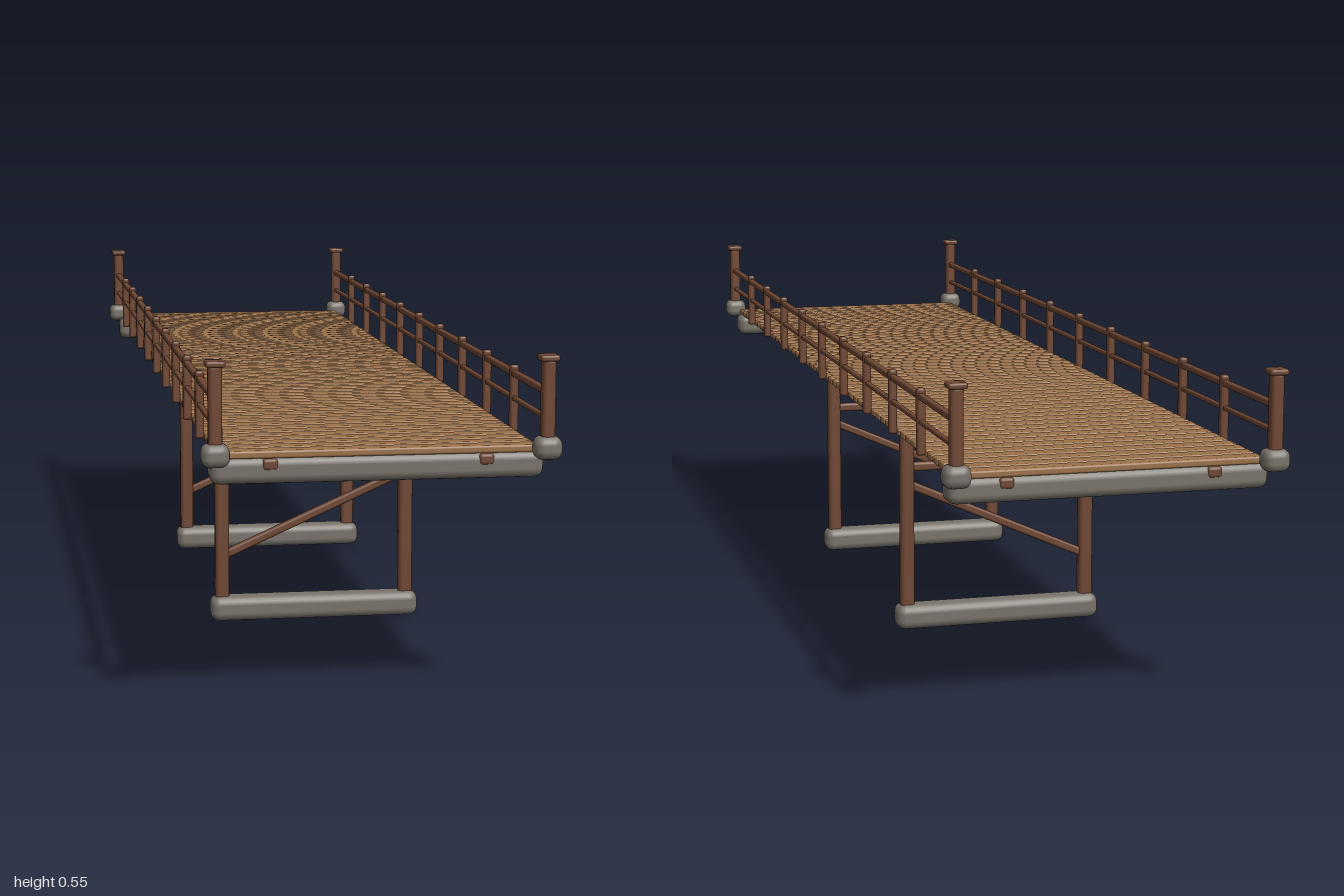
import * as THREE from 'three';
import { RoundedBoxGeometry } from 'three/addons/geometries/RoundedBoxGeometry.js';

export function createModel() {
  const bridge = new THREE.Group();
  bridge.name = 'footbridge';

  const mat = (name, color) => {
    const m = new THREE.MeshStandardMaterial({ color });
    m.name = name;
    return m;
  };
  const plankWood = mat('plank wood', 0x9a7049);
  const beamWood = mat('beam wood', 0x6e4632);
  const stone = mat('stone', 0x78736a);

  // Soft-edged block: size [w, h, d], centre [x, y, z], bevel as share of the thinnest side
  const block = (name, material, size, pos, bevel = 0.3) => {
    const geo = new RoundedBoxGeometry(...size, 2, Math.min(...size) * bevel);
    const mesh = new THREE.Mesh(geo, material);
    mesh.name = name;
    mesh.position.set(...pos);
    bridge.add(mesh);
    return mesh;
  };

  // Deck of cross planks
  const count = 53, pitch = 0.036;
  for (let i = 0; i < count; i++) {
    const z = (i - (count - 1) / 2) * pitch;
    block('plank', plankWood, [0.49, 0.012, 0.031], [0, 0.406, z]);
  }

  for (const s of [-1, 1]) {
    // Stringers under the deck
    block('stringer', beamWood, [0.024, 0.018, 1.91], [s * 0.165, 0.391, 0]);

    // Stone abutment at each end
    block('abutment', stone, [0.51, 0.043, 0.053], [0, 0.382, s * 0.927], 0.34);

    // Support frame: footing, legs, crossbeam and diagonal brace
    const z = s * 0.312;
    block('footing', stone, [0.372, 0.044, 0.048], [0, 0.022, z], 0.34);
    for (const x of [-0.165, 0.165]) {
      block('leg', beamWood, [0.025, 0.36, 0.022], [x, 0.21, z]);
    }
    block('crossbeam', beamWood, [0.33, 0.016, 0.016], [0, 0.292, z]);
    const brace = block('brace', beamWood, [0.35, 0.015, 0.015], [0, 0.189, z]);
    brace.rotation.z = Math.atan2(0.142, 0.32);

    // Railing along each side
    const x = s * 0.251;
    block('upperRail', beamWood, [0.011, 0.011, 1.96], [x, 0.496, 0]);
    block('lowerRail', beamWood, [0.008, 0.008, 1.96], [x, 0.456, 0]);
    for (let i = -4; i <= 4; i++) {
      block('railPost', beamWood, [0.014, 0.107, 0.014], [x, 0.456, i * 0.191]);
    }

    // Corner posts on stone bases with small caps
    for (const e of [-1, 1]) {
      block('postBase', stone, [0.043, 0.036, 0.04], [x, 0.412, e * 0.98], 0.38);
      block('cornerPost', beamWood, [0.021, 0.14, 0.021], [x, 0.477, e * 0.98]);
      block('postCap', beamWood, [0.03, 0.01, 0.03], [x, 0.548, e * 0.98], 0.4);
    }
  }
  return bridge;
}
